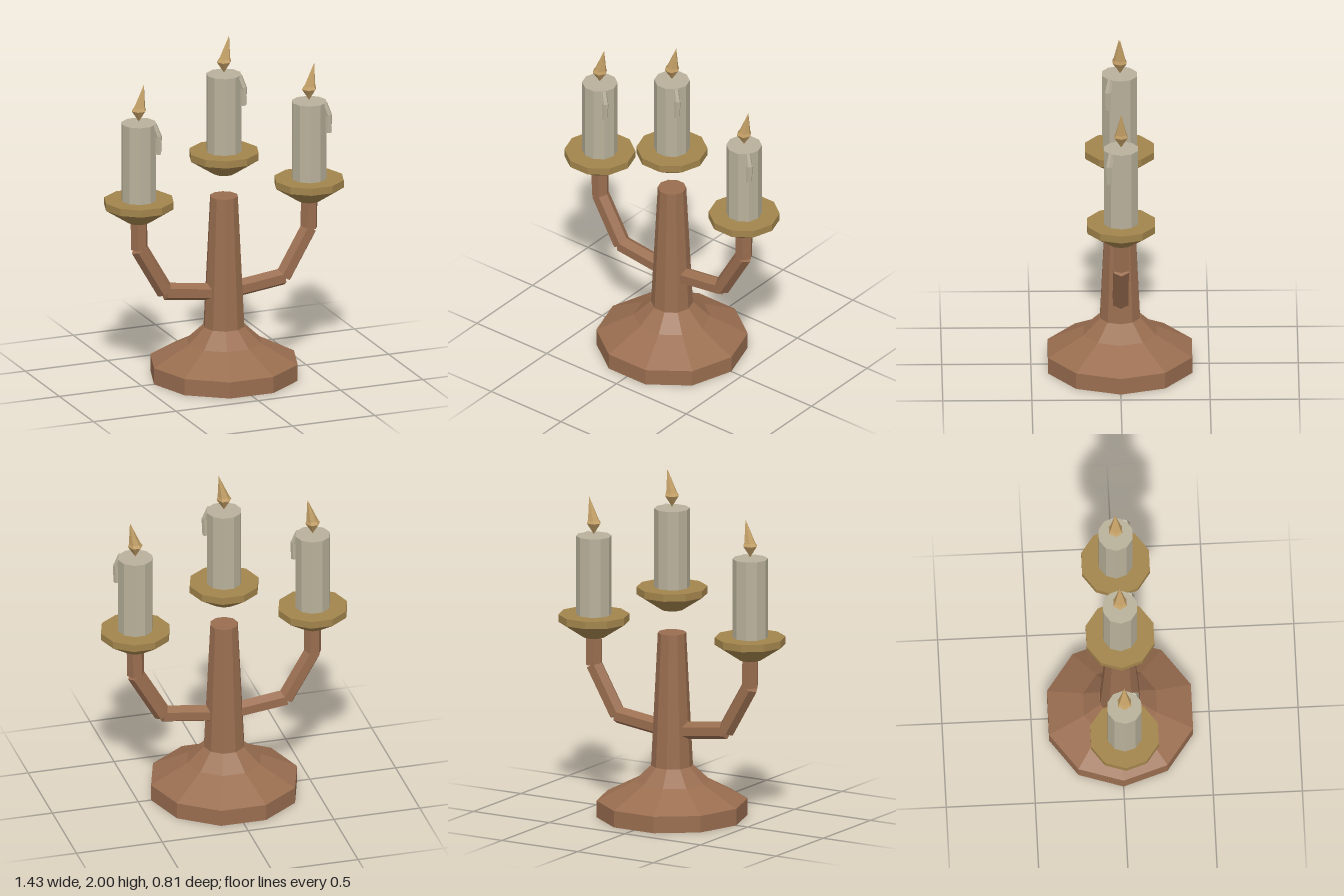
import * as THREE from 'three';

const paint = (color) => new THREE.MeshStandardMaterial({ color, flatShading: true });

export function createModel() {
  const wood = paint(0x9a6e50);
  const brass = paint(0xa3854c);
  const wax = paint(0xb9b19b);
  const fire = paint(0xc4a066);
  const model = new THREE.Group();
  model.name = 'candelabrum';

  const add = (parent, name, geometry, material) => {
    const mesh = new THREE.Mesh(geometry, material);
    mesh.name = name;
    parent.add(mesh);
    return mesh;
  };

  // Faceted turned shape with a corner on the x axis; profile is [radius, y] from bottom to top
  const turned = (profile, sides) => new THREE.LatheGeometry(
    profile.map(([r, y]) => new THREE.Vector2(r, y)), sides, Math.PI / 2);

  // Straight closed bar between two points
  const bar = (parent, name, a, b, r0, r1, sides, material) => {
    const from = new THREE.Vector3(...a);
    const dir = new THREE.Vector3(...b).sub(from);
    const length = dir.length();
    const geometry = new THREE.CylinderGeometry(r1, r0, length, sides, 1, false, Math.PI / 2);
    const mesh = add(parent, name, geometry, material);
    mesh.position.copy(from).addScaledVector(dir, 0.5);
    mesh.quaternion.setFromUnitVectors(new THREE.Vector3(0, 1, 0), dir.normalize());
    return mesh;
  };

  // Foot and central column
  add(model, 'base', turned([[0, 0], [0.425, 0], [0.425, 0.095], [0.215, 0.205], [0.12, 0.295], [0, 0.295]], 10), wood);
  add(model, 'column', turned([[0, 0.29], [0.118, 0.29], [0.08, 1.06], [0, 1.06]], 10), wood);

  // Two bent arms, each of three hexagonal bars
  for (const side of [1, -1]) {
    const arm = new THREE.Group();
    arm.name = side > 0 ? 'leftArm' : 'rightArm';
    model.add(arm);
    const path = [[0.04, 0.5], [0.358, 0.54], [0.515, 0.81], [0.517, 0.98]];
    const names = ['lowerBar', 'slantedBar', 'upright'];
    names.forEach((name, i) => {
      const [a, b] = [path[i], path[i + 1]];
      bar(arm, name, [side * a[0], a[1], 0], [side * b[0], b[1], 0], 0.05, 0.05, 6, wood);
    });
  }

  // Dish, candle, drip and flame; y = 0 is the underside of the dish
  const candleHolder = (name, x, y) => {
    const holder = new THREE.Group();
    holder.name = name;
    holder.position.set(x, y, 0);
    model.add(holder);

    add(holder, 'dish', turned([[0, 0], [0.065, 0], [0.2, 0.088], [0.2, 0.13], [0, 0.13]], 10), brass);
    add(holder, 'candle', turned([[0, 0.125], [0.1, 0.125], [0.1, 0.582], [0, 0.582]], 10), wax);

    const drip = new THREE.Group();
    drip.name = 'waxDrip';
    holder.add(drip);
    bar(drip, 'dripTop', [0.068, 0.58, 0.055], [0.09, 0.51, 0.068], 0.018, 0.02, 6, wax);
    bar(drip, 'dripEnd', [0.092, 0.515, 0.068], [0.089, 0.408, 0.068], 0.02, 0.018, 6, wax);

    // The flame leans toward +x at its tip
    const flame = turned([[0, 0.59], [0.043, 0.655], [0.034, 0.672], [0, 0.805]], 6);
    const p = flame.attributes.position;
    for (let i = 0; i < p.count; i++) {
      p.setX(i, p.getX(i) + 0.031 * Math.max(0, (p.getY(i) - 0.655) / 0.15));
    }
    add(holder, 'flame', flame, fire);
  };
  candleHolder('middleCandle', 0, 1.195);
  candleHolder('leftCandle', 0.517, 0.97);
  candleHolder('rightCandle', -0.517, 0.97);

  return model;
}
